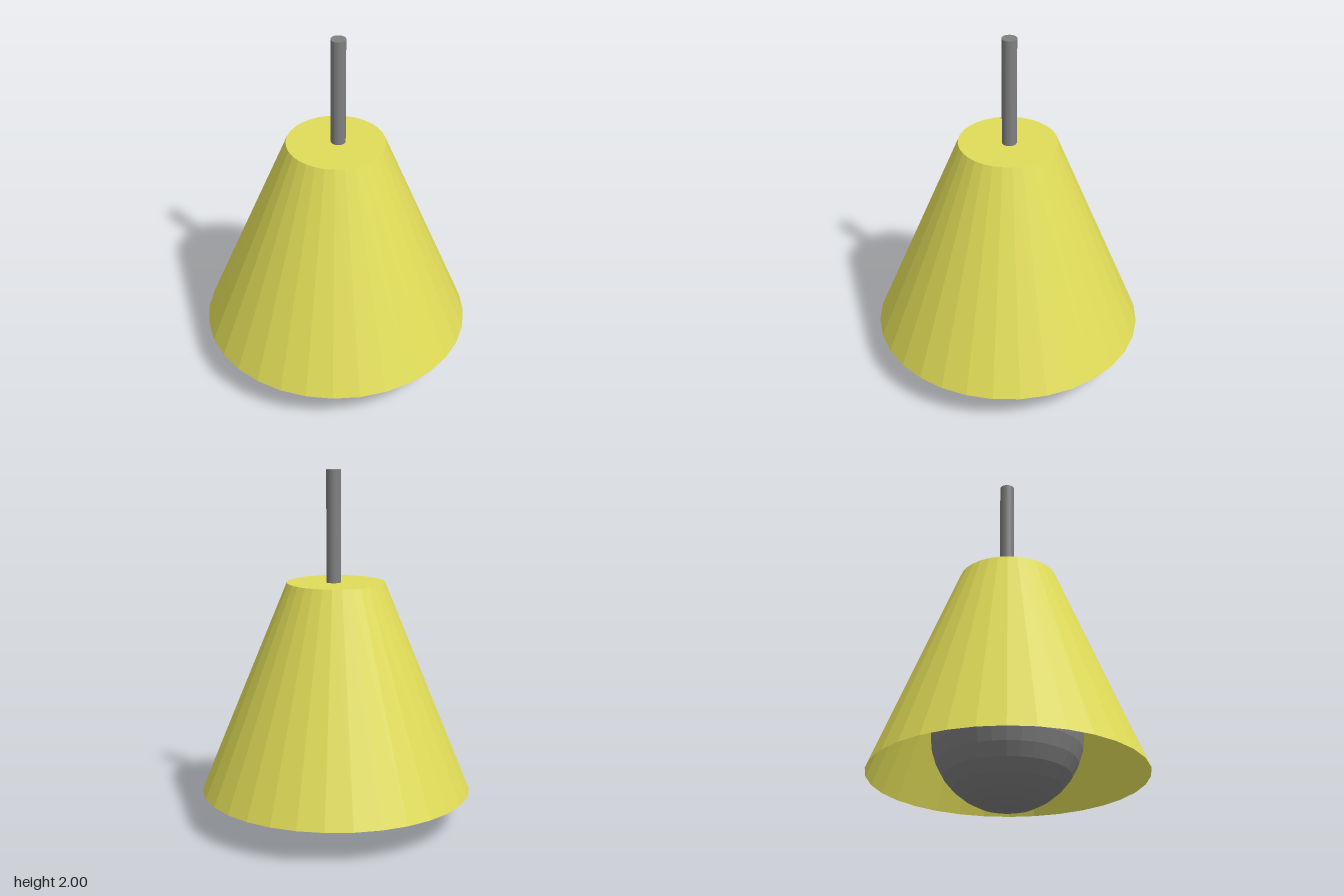
import * as THREE from 'three';

const SIDES = 32;

export function createModel() {
  const group = new THREE.Group();
  const grey = new THREE.MeshStandardMaterial({ color: 0xcccccc, flatShading: true });
  grey.color.set(0x808080);
  const yellow = new THREE.MeshStandardMaterial({ color: 0xe0dc58, flatShading: true, side: THREE.DoubleSide });

  const add = (name, geometry, material, x, y, z) => {
    const mesh = new THREE.Mesh(geometry, material);
    mesh.name = name;
    mesh.position.set(x, y, z);
    group.add(mesh);
  };

  // Thin conical shade: open below, closed by a flat disc on top
  const profile = [[0.764, 0.19], [0.275, 1.378], [0, 1.378]].map(([r, y]) => new THREE.Vector2(r, y));
  add('shade', new THREE.LatheGeometry(profile, SIDES), yellow, 0, 0, 0);

  // Round bulb hanging slightly below the rim
  add('bulb', new THREE.SphereGeometry(0.417, SIDES, 16), grey, 0.008, 0.419, -0.01);

  // Hanging rod, running through the shade down to the bulb
  const rodTop = 2, rodBottom = 0.8;
  add('rod', new THREE.CylinderGeometry(0.041, 0.041, rodTop - rodBottom, SIDES), grey,
    0.007, (rodTop + rodBottom) / 2, -0.012);

  return group;
}
